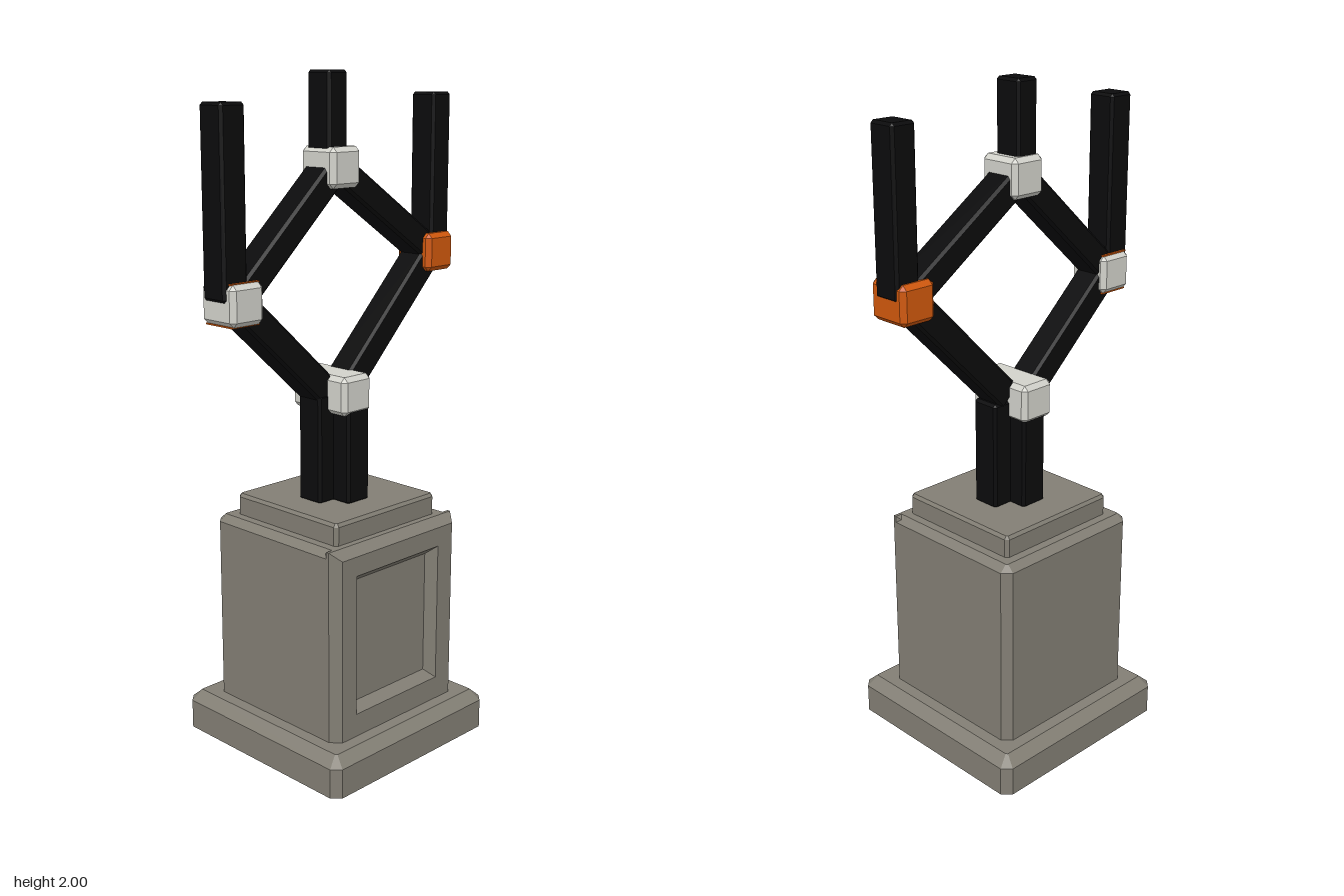
import * as THREE from 'three';
import { ConvexGeometry } from 'three/addons/geometries/ConvexGeometry.js';

const flat = (name, color) => Object.assign(new THREE.MeshStandardMaterial({ color }), { name });

// Box with flat chamfers on every edge, centred on the origin
function chamferBox(w, h, d, c) {
  const half = [w / 2, h / 2, d / 2];
  const points = [];
  for (let axis = 0; axis < 3; axis++)
    for (const sx of [-1, 1]) for (const sy of [-1, 1]) for (const sz of [-1, 1]) {
      const p = [sx, sy, sz].map((s, i) => s * (half[i] - (i === axis ? 0 : c)));
      points.push(new THREE.Vector3(...p));
    }
  return new ConvexGeometry(points);
}

// Solid stacked from square rings with cut corners: [half width, corner cut, y]
function ringSolid(rings, maxZ = Infinity) {
  const points = [];
  for (const [r, cut, y] of rings)
    for (const sx of [-1, 1]) for (const sz of [-1, 1]) {
      const front = Math.min(r, maxZ);
      const z = sz > 0 ? front : -r;
      const c = sz > 0 && maxZ < r ? 0 : cut;
      points.push(new THREE.Vector3(sx * r, y, z - sz * c), new THREE.Vector3(sx * (r - c), y, z));
    }
  return new ConvexGeometry(points);
}

function rectangle(PathType, x0, y0, x1, y1) {
  const p = new PathType();
  p.moveTo(x0, y0);
  p.lineTo(x1, y0);
  p.lineTo(x1, y1);
  p.lineTo(x0, y1);
  p.closePath();
  return p;
}

export function createModel() {
  const model = new THREE.Group();
  const stone = flat('stone grey', 0x827e74);
  const black = flat('black', 0x0b0b0c);
  const white = flat('off white', 0xd2d2cb);
  const orange = flat('orange', 0xd0580d);

  const add = (name, geometry, material, x = 0, y = 0, z = 0) => {
    const mesh = new THREE.Mesh(geometry, material);
    mesh.name = name;
    mesh.position.set(x, y, z);
    model.add(mesh);
    return mesh;
  };

  // Square bar between two points in the front plane
  const bar = (name, [x0, y0], [x1, y1], width) => {
    const length = Math.hypot(x1 - x0, y1 - y0);
    const mesh = add(name, chamferBox(width, length, 0.09, 0.008), black, (x0 + x1) / 2, (y0 + y1) / 2, -0.005);
    mesh.rotation.z = Math.atan2(x0 - x1, y1 - y0);
  };

  // Pedestal
  add('plinth', ringSolid([[0.33, 0.025, 0], [0.33, 0.025, 0.09], [0.297, 0.005, 0.12]]), stone);
  add('pedestalBody', ringSolid([[0.26, 0.025, 0.1], [0.26, 0.025, 0.68], [0.237, 0.005, 0.7]], 0.23), stone);
  add('pedestalCap', ringSolid([[0.21, 0.01, 0.69], [0.21, 0.01, 0.755], [0.203, 0.005, 0.765]]), stone);

  // Front face with a bevelled, recessed panel
  const face = rectangle(THREE.Shape, -0.235, 0.12, 0.235, 0.675);
  face.holes.push(rectangle(THREE.Path, -0.177, 0.19, 0.172, 0.617));
  add('panelFrame', new THREE.ExtrudeGeometry(face, {
    depth: 0.01, bevelEnabled: true, bevelSize: 0.025, bevelThickness: 0.03, bevelSegments: 1,
  }), stone, 0, 0, 0.22);

  // Cross-shaped stem
  add('stemAcross', chamferBox(0.208, 0.33, 0.09, 0.008), black, -0.005, 0.925, -0.003);
  add('stemDeep', chamferBox(0.09, 0.325, 0.208, 0.008), black, -0.008, 0.9225, 0);

  // Diamond of arms
  const leftJoint = [0.39, 1.462];
  const rightJoint = [-0.392, 1.392];
  const topJoint = [-0.018, 1.735];
  bar('lowerLeftArm', [0.035, 1.1], leftJoint, 0.085);
  bar('lowerRightArm', [-0.055, 1.085], rightJoint, 0.085);
  bar('upperLeftArm', topJoint, leftJoint, 0.08);
  bar('upperRightArm', topJoint, rightJoint, 0.08);

  // Upright posts
  bar('leftPost', [0.411, 1.47], [0.411, 1.935], 0.08);
  bar('rightPost', [-0.415, 1.4], [-0.415, 1.92], 0.086);
  bar('topPost', [-0.029, 1.74], [-0.029, 2], 0.076);

  // Joint blocks
  const joint = (name, material, x, y, depth) =>
    add(name, chamferBox(0.117, 0.115, depth, 0.014), material, x, y, -0.002);
  joint('stemJoint', white, -0.016, 1.088, 0.22);
  joint('topJoint', white, -0.018, 1.735, 0.134);
  joint('leftJoint', orange, ...leftJoint, 0.134);
  joint('rightJoint', white, ...rightJoint, 0.134);

  // Orange faces above and below the right joint
  for (const side of [-1, 1])
    add('rightJointPlate', new THREE.BoxGeometry(0.1, 0.004, 0.108), orange,
      rightJoint[0], rightJoint[1] + side * 0.058, -0.004);

  return model;
}
